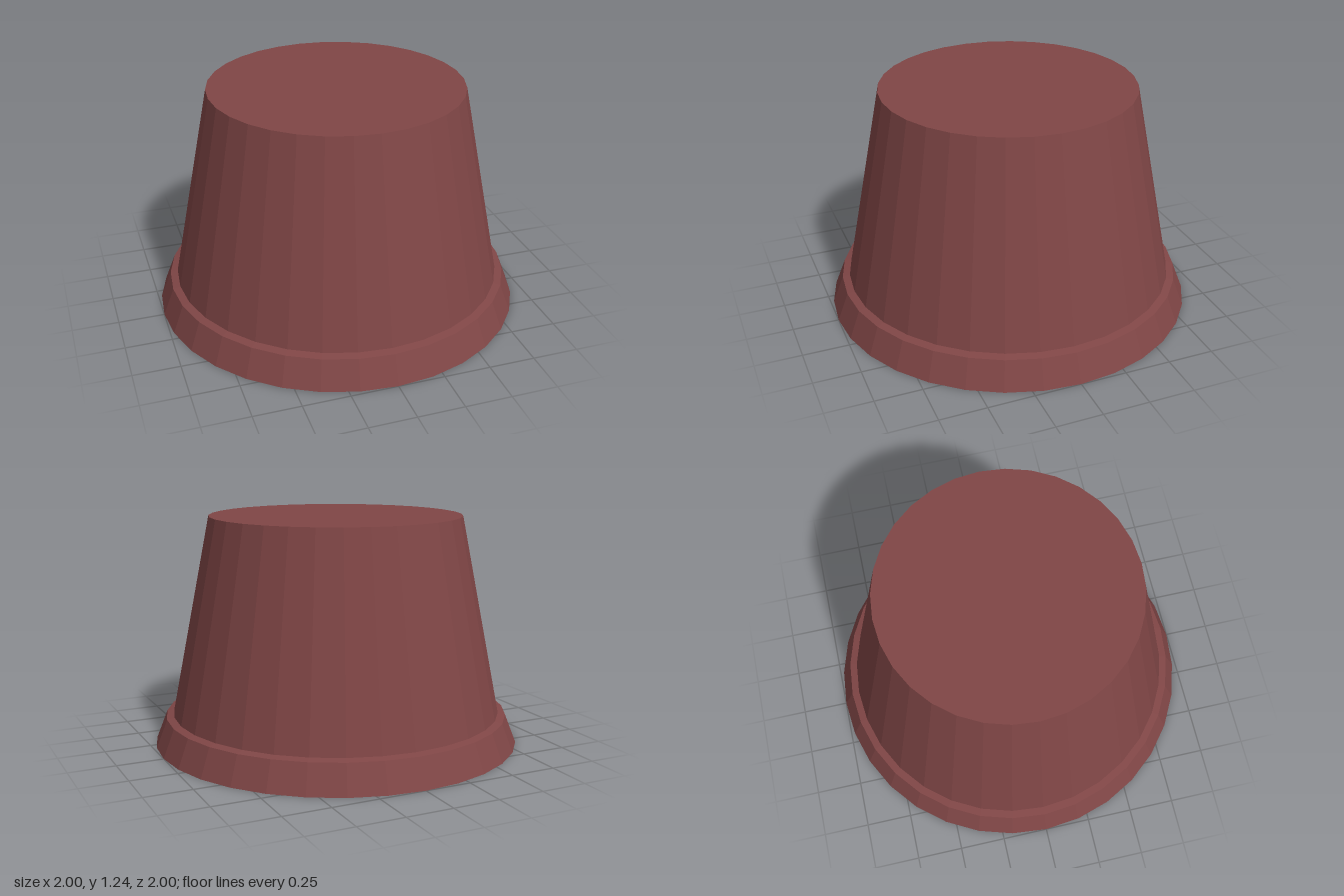
import * as THREE from 'three';

const SIDES = 32;

export function createModel() {
  const group = new THREE.Group();
  const material = new THREE.MeshStandardMaterial({ color: 0x804646, flatShading: true });

  // Adds a faceted solid of revolution from [radius, height] points, bottom to top
  const addTurned = (name, points) => {
    const profile = points.map(([r, y]) => new THREE.Vector2(r, y));
    const mesh = new THREE.Mesh(new THREE.LatheGeometry(profile, SIDES), material);
    mesh.name = name;
    group.add(mesh);
  };

  // Flared rim with closed underside and a slightly sloped ledge
  addTurned('rim', [[0, 0], [1, 0], [0.94, 0.153], [0.9, 0.163]]);

  // Tapered body with a flat top
  addTurned('body', [[0.9, 0.163], [0.686, 1.24], [0, 1.24]]);

  return group;
}
